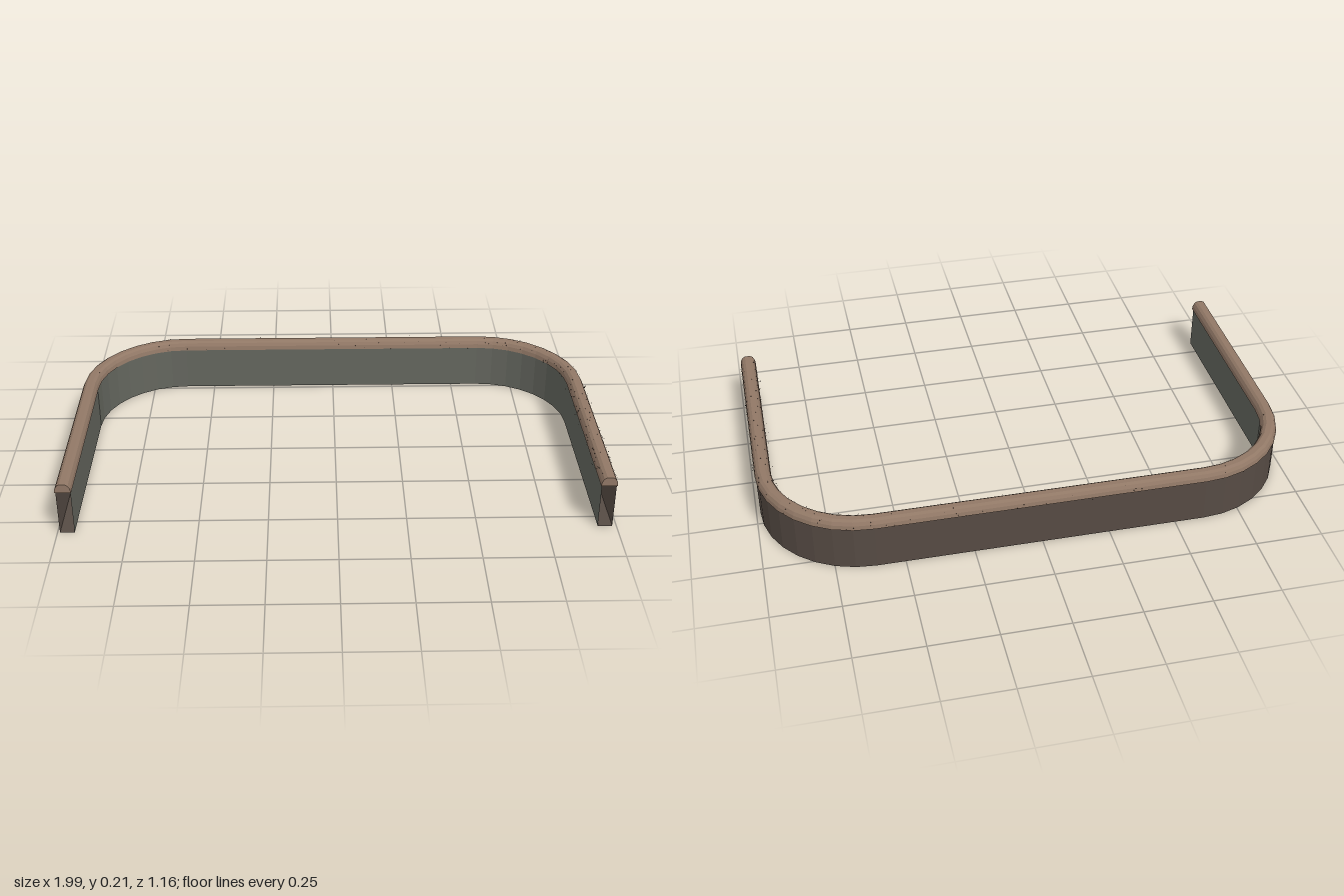
import * as THREE from 'three';
import { mergeGeometries } from 'three/addons/utils/BufferGeometryUtils.js';

const CX = -0.003, RADIUS = 0.355, STRAIGHT = 0.607, CORNER_Z = -0.188;

// U-shaped path: right leg, back and left leg, with outward direction at each station
function buildPath(rightEnd, leftEnd) {
  const path = [{ x: CX - STRAIGHT, z: rightEnd, nx: -1, nz: 0, r: RADIUS }];
  const steps = 8;
  for (const side of [-1, 1]) {
    for (let i = 0; i <= steps; i++) {
      const t = (i / steps) * Math.PI / 2;
      const a = side < 0 ? t : Math.PI / 2 - t;
      path.push({ x: CX + side * STRAIGHT, z: CORNER_Z, nx: side * Math.cos(a), nz: -Math.sin(a), r: RADIUS });
    }
  }
  path.push({ x: CX + STRAIGHT, z: leftEnd, nx: 1, nz: 0, r: RADIUS });
  return path;
}

const place = (s, [d, y]) => [s.x + s.nx * (s.r + d), y, s.z + s.nz * (s.r + d)];

// Faceted sweep of an open profile of [outward offset, height] points
function sweep(path, profile, closeEnds = false) {
  const pos = [];
  for (let i = 0; i < path.length - 1; i++) {
    for (let k = 0; k < profile.length - 1; k++) {
      const a = place(path[i], profile[k]), b = place(path[i + 1], profile[k]);
      const c = place(path[i], profile[k + 1]), d = place(path[i + 1], profile[k + 1]);
      pos.push(...a, ...c, ...b, ...b, ...c, ...d);
    }
  }
  if (closeEnds) {
    const first = profile.map((p) => place(path[0], p));
    const last = profile.map((p) => place(path[path.length - 1], p));
    for (let k = 1; k < profile.length - 2; k++) {
      pos.push(...first[0], ...first[k + 1], ...first[k]);
      pos.push(...last[0], ...last[k], ...last[k + 1]);
    }
  }
  const g = new THREE.BufferGeometry();
  g.setAttribute('position', new THREE.Float32BufferAttribute(pos, 3));
  g.computeVertexNormals();
  return g;
}

function material(name, color) {
  const m = new THREE.MeshStandardMaterial({ color, side: THREE.DoubleSide });
  m.name = name;
  return m;
}

function seeded(seed) {
  return () => (seed = (seed * 16807) % 2147483647) / 2147483647;
}

export function createModel() {
  const group = new THREE.Group();
  const add = (name, geometry, mat) => {
    const mesh = new THREE.Mesh(geometry, mat);
    mesh.name = name;
    group.add(mesh);
  };
  const outerBrown = material('dark brown', 0x564b44);
  const innerGrey = material('grey green', 0x64665e);
  const capBrown = material('warm brown', 0x917866);
  const speckDark = material('speck brown', 0x3a302a);

  // Hollow wall, open at both leg ends
  const wallPath = buildPath(0.568, 0.561);
  const half = 0.026, top = 0.175;
  add('outerWall', sweep(wallPath, [[-half, 0], [half, 0], [half, top]]), outerBrown);
  add('innerWall', sweep(wallPath, [[-half, top], [-half, 0]]), innerGrey);

  // Rounded coping along the top
  const capProfile = [
    [0.03, 0.172], [0.027, 0.188], [0.02, 0.2], [0.01, 0.206],
    [-0.01, 0.206], [-0.02, 0.2], [-0.027, 0.188], [-0.03, 0.172], [0.03, 0.172],
  ];
  add('coping', sweep(buildPath(0.575, 0.564), capProfile, true), capBrown);

  // Tiny flecks scattered over the coping
  const rand = seeded(71);
  const curve = new THREE.CurvePath();
  const mid = wallPath.map((s) => new THREE.Vector3(...place(s, [0, 0.172])));
  for (let i = 0; i < mid.length - 1; i++) curve.add(new THREE.LineCurve3(mid[i], mid[i + 1]));
  const flecks = [];
  for (let i = 0; i < 260; i++) {
    const u = 0.2 + 0.8 * Math.sqrt(rand());
    const p = curve.getPointAt(Math.min(u, 0.999));
    const t = curve.getTangentAt(Math.min(u, 0.999));
    const a = rand() * Math.PI, r = 0.033 + 0.008 * rand() ** 3;
    const g = new THREE.TetrahedronGeometry(0.0015 + 0.001 * rand());
    g.rotateY(rand() * 6);
    g.translate(p.x - t.z * Math.cos(a) * r, p.y + Math.sin(a) * r, p.z + t.x * Math.cos(a) * r);
    flecks.push(g);
  }
  add('copingFlecks', mergeGeometries(flecks), speckDark);

  return group;
}
